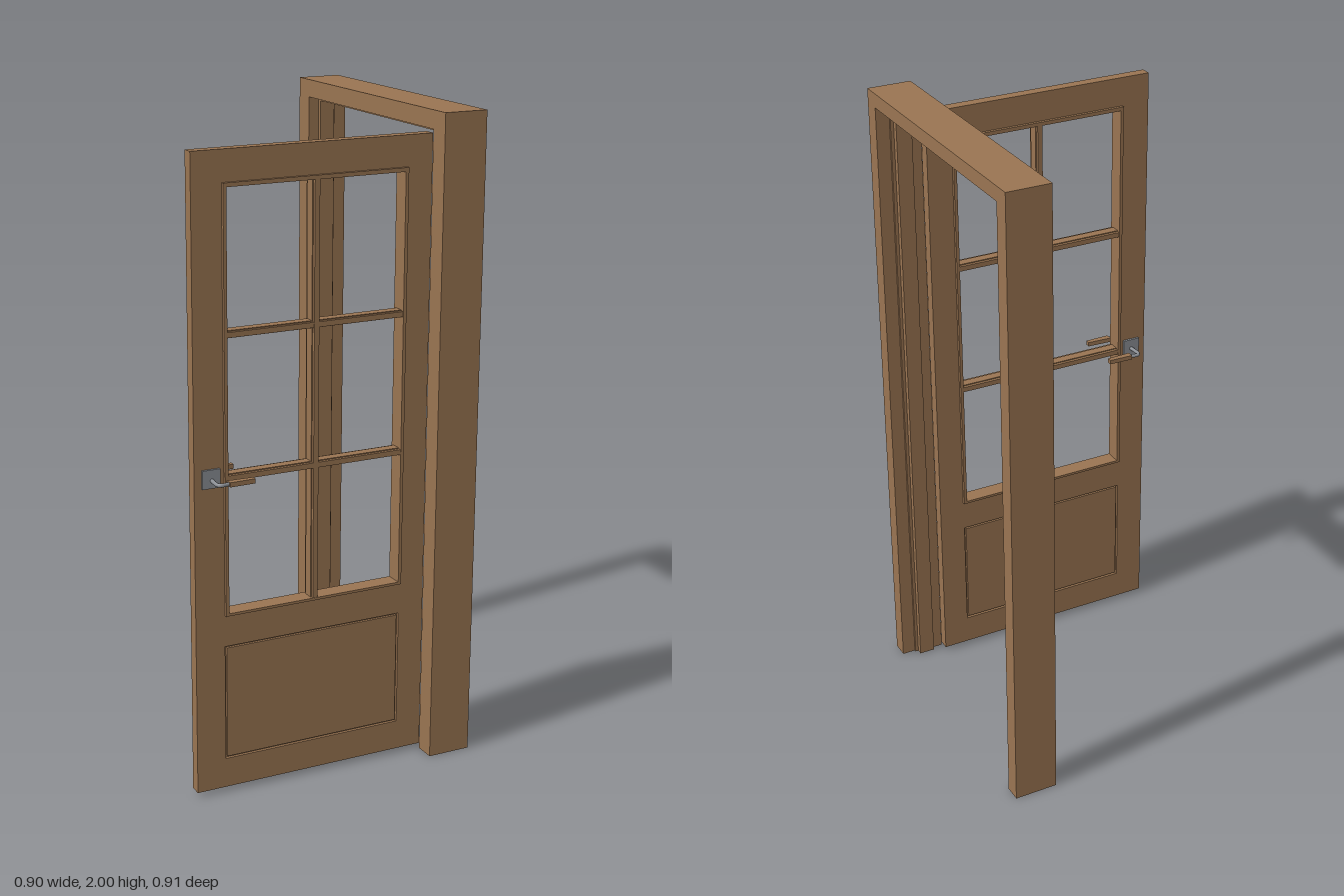
import * as THREE from 'three';

export function createModel() {
  const model = new THREE.Group();
  const wood = new THREE.MeshStandardMaterial({ color: 0x9a7552 });
  wood.name = 'oak wood';
  const metal = new THREE.MeshStandardMaterial({ color: 0x8c9096 });
  metal.name = 'brushed metal';

  const add = (parent, name, geometry, material) => {
    const mesh = new THREE.Mesh(geometry, material);
    mesh.name = name;
    parent.add(mesh);
    return mesh;
  };
  // Box given by its limits on each axis
  const box = (parent, name, [x0, x1], [y0, y1], [z0, z1], material = wood) => {
    const mesh = add(parent, name, new THREE.BoxGeometry(x1 - x0, y1 - y0, z1 - z0), material);
    mesh.position.set((x0 + x1) / 2, (y0 + y1) / 2, (z0 + z1) / 2);
    return mesh;
  };
  const rect = (Type, x0, x1, y0, y1) => new Type([
    [x0, y0], [x1, y0], [x1, y1], [x0, y1],
  ].map(([x, y]) => new THREE.Vector2(x, y)));

  // Door frame: three U-shaped layers form the rebate, stop and casing
  const frame = new THREE.Group();
  frame.name = 'doorFrame';
  model.add(frame);
  const layer = (name, x0, x1, half, top) => {
    const shape = new THREE.Shape([
      [-0.455, 0], [-half, 0], [-half, top], [half, top],
      [half, 0], [0.455, 0], [0.455, 2], [-0.455, 2],
    ].map(([z, y]) => new THREE.Vector2(z, y)));
    const g = new THREE.ExtrudeGeometry(shape, { depth: x1 - x0, bevelEnabled: false });
    g.rotateY(Math.PI / 2).translate(x0, 0, 0);
    add(frame, name, g, wood);
  };
  layer('rebateLayer', 0.31, 0.345, 0.39, 1.945);
  layer('stopLayer', 0.345, 0.395, 0.377, 1.932);
  layer('grooveLayer', 0.395, 0.405, 0.395, 1.95);
  layer('casingLayer', 0.405, 0.448, 0.402, 1.956);

  // Door leaf, standing open at a right angle to the frame
  const door = new THREE.Group();
  door.name = 'doorLeaf';
  model.add(door);
  const Z0 = 0.35, Z1 = 0.385, ZM = (Z0 + Z1) / 2;
  const leaf = rect(THREE.Shape, -0.448, 0.312, 0.015, 1.934);
  leaf.holes.push(rect(THREE.Path, -0.353, 0.228, 0.57, 1.84));
  leaf.holes.push(rect(THREE.Path, -0.355, 0.228, 0.108, 0.47));
  add(door, 'leafBoard',
    new THREE.ExtrudeGeometry(leaf, { depth: Z1 - Z0, bevelEnabled: false }).translate(0, 0, Z0), wood);

  // Lower panel with a narrow groove around it
  box(door, 'panelCore', [-0.355, 0.228], [0.108, 0.47], [ZM - 0.008, ZM + 0.008]);
  box(door, 'raisedPanel', [-0.349, 0.222], [0.114, 0.464], [Z0 + 0.001, Z1 - 0.001]);

  // Glazing bead that stands proud on both sides
  const bead = rect(THREE.Shape, -0.355, 0.23, 0.568, 1.842);
  bead.holes.push(rect(THREE.Path, -0.345, 0.22, 0.576, 1.83));
  add(door, 'glazingBead',
    new THREE.ExtrudeGeometry(bead, { depth: 0.055, bevelEnabled: false }).translate(0, 0, ZM - 0.0275), wood);

  // Glazing bars: wide core with a slimmer moulding on both faces
  for (const [grow, depth] of [[0.011, 0.016], [0.008, 0.026]]) {
    box(door, 'verticalBar', [-0.063 - grow, -0.063 + grow], [0.572, 1.834], [ZM - depth, ZM + depth]);
    for (const y of [0.99, 1.412])
      box(door, 'horizontalBar', [-0.349, 0.224], [y - grow, y + grow], [ZM - depth + 0.001, ZM + depth - 0.001]);
  }

  // Lever handles, mirrored on the two faces
  for (const side of [1, -1]) {
    const handle = new THREE.Group();
    handle.name = side > 0 ? 'frontHandle' : 'backHandle';
    handle.position.set(-0.397, 0.992, ZM);
    if (side < 0) handle.rotation.x = Math.PI;
    door.add(handle);
    const rose = box(handle, 'rosePlate', [-0.028, 0.028], [-0.028, 0.028], [0.0175, 0.025], metal);
    rose.position.y = 0.004 * side;
    const path = new THREE.CatmullRomCurve3([
      [0.002, 0, 0.02], [-0.001, 0, 0.05], [0, 0, 0.07], [0.006, 0, 0.077], [0.034, 0, 0.073],
    ].map((p) => new THREE.Vector3(...p)));
    add(handle, 'leverNeck', new THREE.TubeGeometry(path, 16, 0.006, 8), metal);
    // Tapered wooden grip
    const grip = new THREE.Shape([
      [0.03, 0.062], [0.112, 0.066], [0.112, 0.082], [0.032, 0.084],
    ].map(([x, z]) => new THREE.Vector2(x, -z)));
    add(handle, 'leverGrip', new THREE.ExtrudeGeometry(grip, { depth: 0.014, bevelEnabled: false })
      .rotateX(-Math.PI / 2).translate(0, -0.007, 0), wood);
  }

  return model;
}
